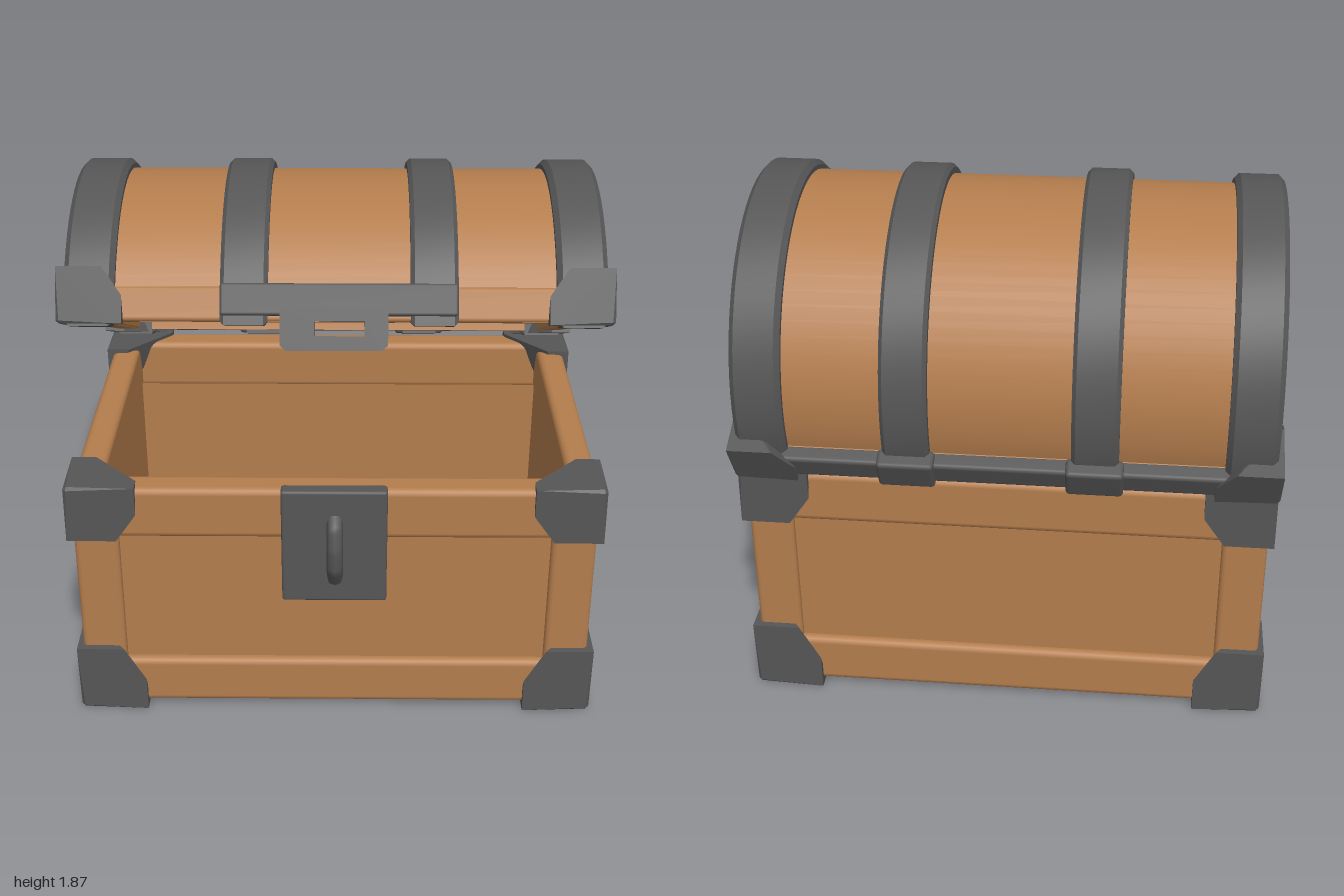
import * as THREE from 'three';
import { toCreasedNormals } from 'three/addons/utils/BufferGeometryUtils.js';
import { RoundedBoxGeometry } from 'three/addons/geometries/RoundedBoxGeometry.js';
import { ConvexGeometry } from 'three/addons/geometries/ConvexGeometry.js';

const wood = new THREE.MeshStandardMaterial({ name: 'wood', color: 0xb47d4d });
const iron = new THREE.MeshStandardMaterial({ name: 'iron', color: 0x565656 });

function add(parent, name, geometry, material) {
  const mesh = new THREE.Mesh(geometry, material);
  mesh.name = name;
  parent.add(mesh);
  return mesh;
}

// Box given by its limits on each axis, with softened edges when r > 0
function block(parent, name, material, [x0, x1], [y0, y1], [z0, z1], r = 0) {
  const size = [x1 - x0, y1 - y0, z1 - z0];
  const g = r ? new RoundedBoxGeometry(...size, 2, r) : new THREE.BoxGeometry(...size);
  g.translate((x0 + x1) / 2, (y0 + y1) / 2, (z0 + z1) / 2);
  return add(parent, name, g, material);
}

// Limits mirrored to the side given by s
const span = (s, a, b) => (s > 0 ? [a, b] : [-b, -a]);

// Faceted iron cap: c is the outer corner, e the signed reach inward along each axis
function cornerCap(parent, name, c, e) {
  const reach = [
    [0.05, 0, 0.05], [0, 0.05, 0.05], [0.05, 0.05, 0],
    [1, 0, 0], [0, 1, 0], [0, 0, 1],
    [1, 0.5, 0], [0.7, 1, 0], [1, 0, 0.25], [0.35, 0, 1],
    [0, 1, 0.85], [0, 0.8, 1], [0.9, 0.4, 0.2], [0.55, 0.9, 0.3], [0.3, 0.7, 0.8],
  ];
  const points = reach.map((p) => new THREE.Vector3(...p.map((v, i) => c[i] + v * e[i])));
  return add(parent, name, new ConvexGeometry(points), iron);
}

// Half ring (or half disc when inner is 0) spanning x0..x1, centred over the lid
const LID_MID = 0.635;
function arch(parent, name, material, x0, x1, outer, inner, bevel = 0) {
  const shape = new THREE.Shape();
  const R = outer - bevel;
  const r = inner ? inner + bevel : 0;
  shape.moveTo(R, 0);
  shape.absarc(0, 0, R, 0, Math.PI, false);
  if (r) {
    shape.lineTo(-r, 0);
    shape.absarc(0, 0, r, Math.PI, 0, true);
  }
  shape.closePath();
  const g = new THREE.ExtrudeGeometry(shape, {
    depth: x1 - x0 - 2 * bevel, curveSegments: 18, bevelEnabled: bevel > 0,
    bevelSize: bevel, bevelThickness: bevel, bevelSegments: 1,
  });
  g.rotateY(Math.PI / 2).translate(x0 + bevel, 0, LID_MID);
  return add(parent, name, toCreasedNormals(g, 0.6), material);
}

// Rod through points
function rod(parent, name, points, radius) {
  const path = new THREE.CatmullRomCurve3(points.map((p) => new THREE.Vector3(...p)), false, 'catmullrom', 0.2);
  return add(parent, name, new THREE.TubeGeometry(path, 28, radius, 8), iron);
}

function buildBase() {
  const base = new THREE.Group();
  base.name = 'base';
  block(base, 'floor', wood, [-0.9, 0.9], [0.02, 0.1], [-0.62, 0.62]);

  for (const s of [1, -1]) {
    // Recessed panels
    block(base, 'longPanel', wood, [-0.9, 0.9], [0.05, 0.92], span(s, 0.55, 0.625));
    block(base, 'endPanel', wood, span(s, 0.83, 0.9), [0.05, 0.92], [-0.62, 0.62]);
    // Rails along the top and bottom
    for (const [y0, y1] of [[0.02, 0.21], [0.74, 0.94]]) {
      block(base, 'longRail', wood, [-0.92, 0.92], [y0, y1], span(s, 0.545, 0.655), 0.025);
      block(base, 'endRail', wood, span(s, 0.825, 0.93), [y0, y1], [-0.64, 0.64], 0.025);
    }
    // Corner posts are two boards each, and every corner has two caps
    for (const t of [1, -1]) {
      block(base, 'postLongBoard', wood, span(s, 0.77, 0.93), [0.05, 0.92], span(t, 0.56, 0.65), 0.02);
      block(base, 'postEndBoard', wood, span(s, 0.84, 0.93), [0.05, 0.92], span(t, 0.45, 0.65), 0.02);
      cornerCap(base, 'bottomCap', [s * 0.95, 0, t * 0.675], [-s * 0.25, 0.27, -t * 0.25]);
      cornerCap(base, 'topCap', [s * 0.95, 0.955, t * 0.675], [-s * 0.25, -0.215, -t * 0.225]);
    }
    // Carrying handle
    const handle = new THREE.Group();
    handle.name = 'sideHandle';
    base.add(handle);
    rod(handle, 'grip', [
      [0.955, 0.62, 0.31], [0.96, 0.61, 0.23], [0.965, 0.57, 0.205], [0.968, 0.525, 0.185], [0.968, 0.508, 0.13],
      [0.968, 0.508, -0.11], [0.968, 0.525, -0.165], [0.965, 0.57, -0.185], [0.96, 0.61, -0.21], [0.955, 0.62, -0.28],
    ].map(([x, y, z]) => [s * x, y, z]), 0.032);
    for (const [z0, z1] of [[0.22, 0.33], [-0.3, -0.19]]) {
      block(handle, 'handleMount', iron, span(s, 0.88, 0.975), [0.56, 0.665], [z0, z1], 0.02);
    }
  }

  // Lock plate and staple
  block(base, 'lockPlate', iron, [-0.19, 0.185], [0.49, 0.945], [0.62, 0.675], 0.01);
  rod(base, 'staple', [[0, 0.83, 0.66], [0, 0.8, 0.695], [0, 0.73, 0.712], [0, 0.65, 0.705], [0, 0.58, 0.66]], 0.029);
  return base;
}

function buildLid() {
  const lid = new THREE.Group();
  lid.name = 'lid';
  // The lid is modelled shut with its back edge on the origin, then swung open
  lid.position.set(0, 0.95, -0.66);
  lid.rotation.x = -THREE.MathUtils.degToRad(26);

  arch(lid, 'lidShell', wood, -0.87, 0.87, 0.6, 0.53);
  block(lid, 'lidFrontRail', wood, [-0.91, 0.91], [0, 0.12], [1.165, 1.247], 0.015);
  block(lid, 'lidBackRail', wood, [-0.91, 0.91], [0, 0.1], [0.03, 0.105], 0.015);

  for (const s of [1, -1]) {
    const [p0, p1] = span(s, 0.83, 0.89);
    arch(lid, 'lidEndPanel', wood, p0, p1, 0.57, 0);
    block(lid, 'lidEndRail', wood, span(s, 0.825, 0.918), [0, 0.065], [0.05, 1.23], 0.012);
    const [b0, b1] = span(s, 0.76, 0.935);
    arch(lid, 'endBand', iron, b0, b1, 0.635, 0.53, 0.018);
    cornerCap(lid, 'lidFrontCap', [s * 0.955, -0.01, 1.29], [-s * 0.225, 0.195, -0.21]);
    cornerCap(lid, 'lidBackCap', [s * 0.955, -0.01, -0.03], [-s * 0.225, 0.17, 0.24]);
  }
  for (const x of [-0.315, 0.34]) {
    arch(lid, 'middleBand', iron, x - 0.082, x + 0.082, 0.637, 0.57, 0.014);
  }

  // Hinge strip across the back, with knuckles
  block(lid, 'hingeStrip', iron, [-0.92, 0.92], [0, 0.1], [-0.015, 0.05], 0.015);
  for (const x of [-0.315, 0.34]) {
    block(lid, 'hingeKnuckle', iron, [x - 0.1, x + 0.1], [-0.01, 0.12], [-0.035, 0.04], 0.015);
  }

  // Plate joining the middle bands, and the slotted hasp hanging from it
  block(lid, 'haspPlate', iron, [-0.395, 0.42], [0.02, 0.13], [1.22, 1.29], 0.01);
  const hasp = new THREE.Shape([[-0.19, 0.05], [-0.19, -0.08], [-0.17, -0.1], [0.16, -0.1], [0.18, -0.08], [0.18, 0.05]]
    .map((p) => new THREE.Vector2(...p)));
  hasp.holes.push(new THREE.Path([[-0.07, -0.05], [0.1, -0.05], [0.1, 0], [-0.07, 0]]
    .map((p) => new THREE.Vector2(...p))));
  const haspGeometry = new THREE.ExtrudeGeometry(hasp, { depth: 0.03, bevelEnabled: false });
  add(lid, 'hasp', haspGeometry.translate(0, 0, 1.265), iron);
  return lid;
}

export function createModel() {
  const chest = new THREE.Group();
  chest.name = 'chest';
  chest.add(buildBase(), buildLid());
  return chest;
}
